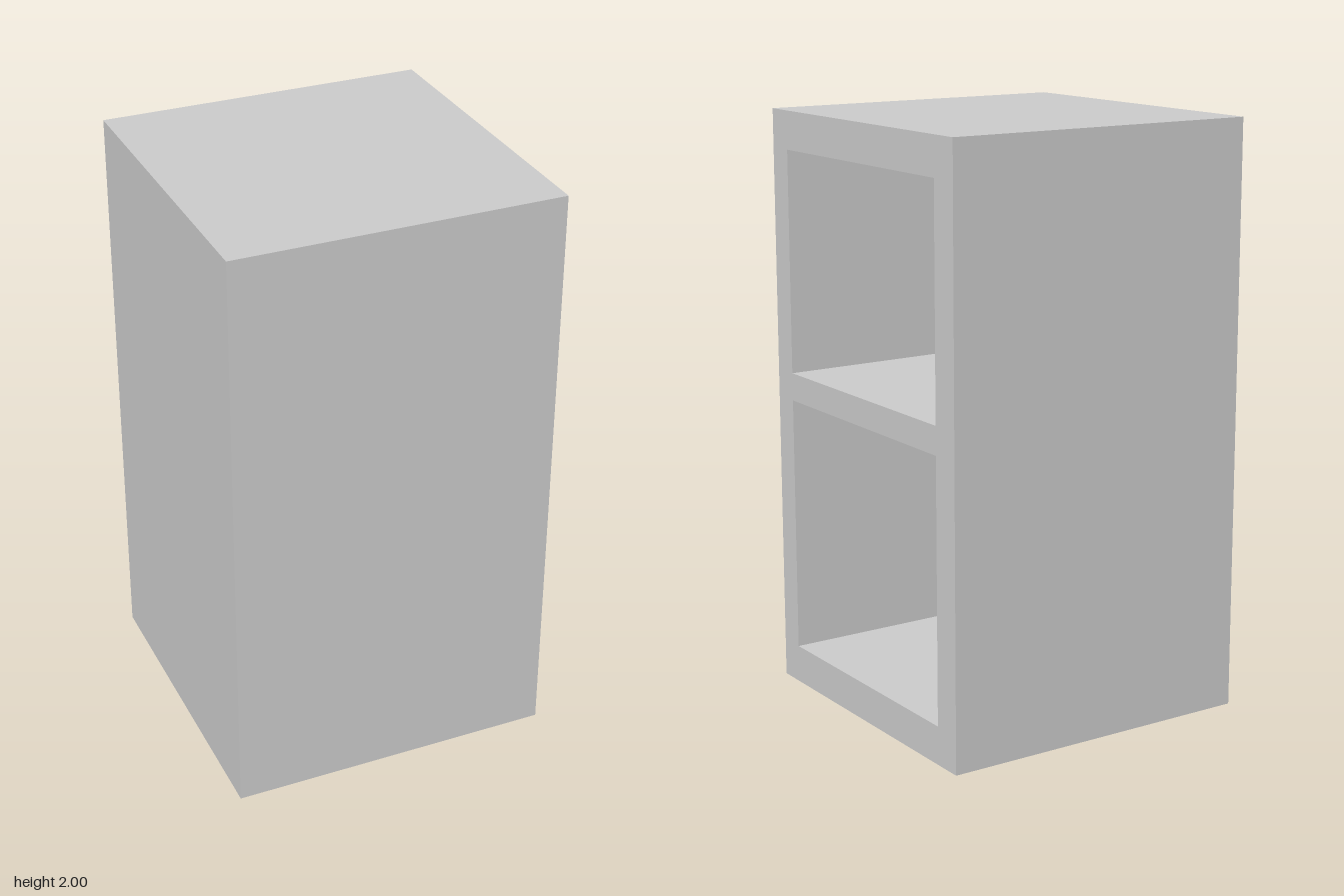
import * as THREE from 'three';

const WIDTH = 1.11, HEIGHT = 2, BACK = 0.1;
// Openings as seen from the open +x side (u = -z, v = y)
const OPENINGS = [
  { name: 'lower', u0: -0.46, u1: 0.45, v0: 0.13, v1: 1.015 },
  { name: 'upper', u0: -0.46, u1: 0.45, v0: 1.11, v1: 1.87 },
];

function rectangle(Type, u0, v0, u1, v1) {
  const r = new Type();
  r.moveTo(u0, v0);
  r.lineTo(u1, v0);
  r.lineTo(u1, v1);
  r.lineTo(u0, v1);
  r.closePath();
  return r;
}

export function createModel() {
  const group = new THREE.Group();
  group.name = 'cabinet';
  const material = new THREE.MeshStandardMaterial({ color: 0xcccccc });

  // Carcass: walls, top, base and middle shelf in one extrusion along x
  const outline = rectangle(THREE.Shape, -WIDTH / 2, 0, WIDTH / 2, HEIGHT);
  for (const o of OPENINGS) {
    outline.holes.push(rectangle(THREE.Path, o.u0, o.v0, o.u1, o.v1));
  }
  const geometry = new THREE.ExtrudeGeometry(outline, { depth: WIDTH, bevelEnabled: false });
  geometry.translate(0, 0, -WIDTH / 2).rotateY(Math.PI / 2);
  const carcass = new THREE.Mesh(geometry, material);
  carcass.name = 'carcass';
  group.add(carcass);

  // Back panels closing each compartment on the -x side
  for (const o of OPENINGS) {
    const panel = new THREE.Mesh(
      new THREE.BoxGeometry(BACK, o.v1 - o.v0, o.u1 - o.u0), material);
    panel.position.set(-WIDTH / 2 + BACK / 2, (o.v0 + o.v1) / 2, -(o.u0 + o.u1) / 2);
    panel.name = o.name + 'BackPanel';
    group.add(panel);
  }
  return group;
}
